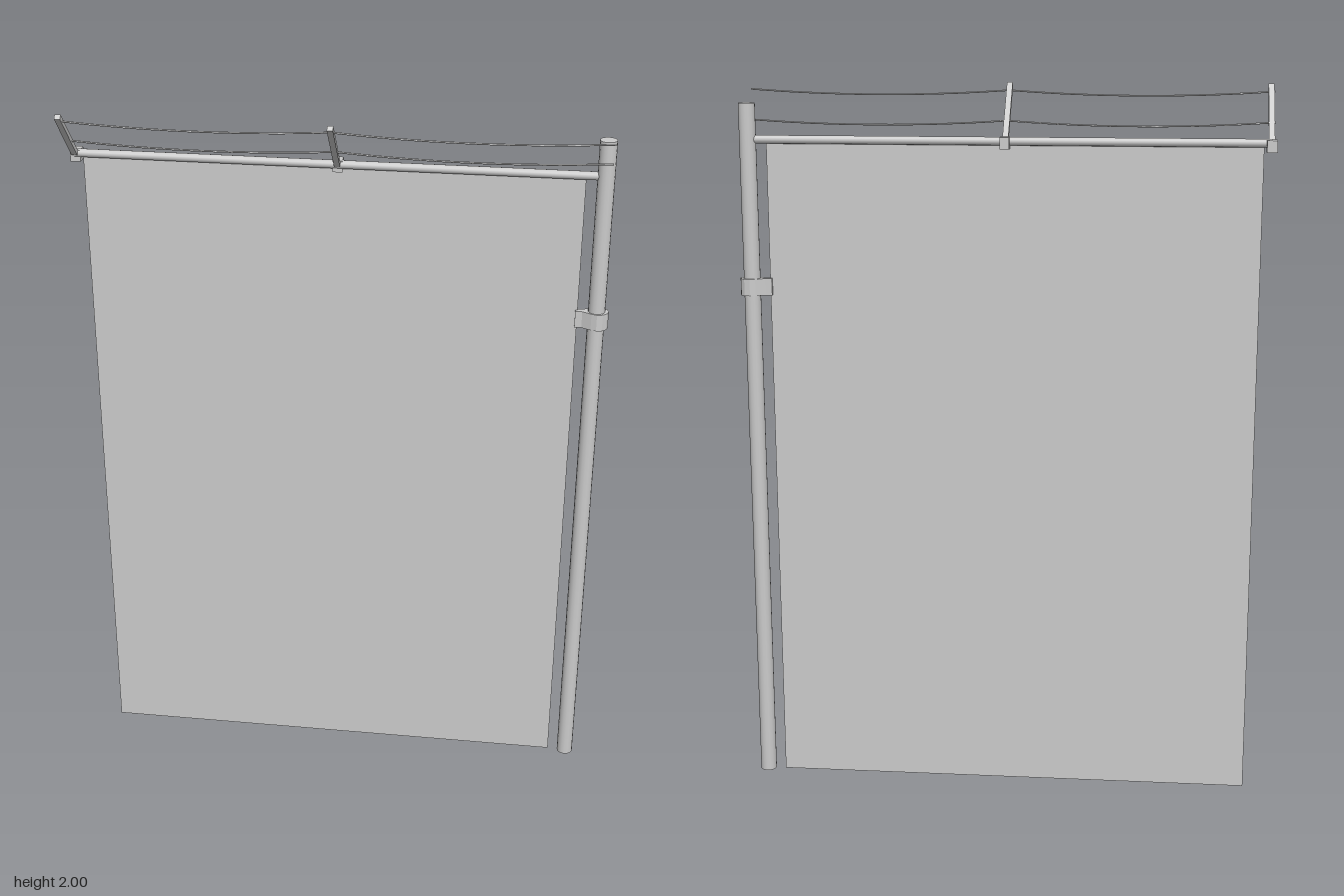
import * as THREE from 'three';

const Z = -0.066; // plane of post, rail and panel
const POST_X = 0.697;

export function createModel() {
  const model = new THREE.Group();
  model.name = 'fencePanel';
  const mat = new THREE.MeshStandardMaterial({ color: 0xcccccc });
  const sheetMat = new THREE.MeshStandardMaterial({ color: 0xcccccc, side: THREE.DoubleSide });

  const add = (name, geometry, x = 0, y = 0, z = 0, material = mat) => {
    const mesh = new THREE.Mesh(geometry, material);
    mesh.name = name;
    mesh.position.set(x, y, z);
    model.add(mesh);
    return mesh;
  };

  // Upright post and horizontal top rail
  add('post', new THREE.CylinderGeometry(0.023, 0.023, 1.946, 16), POST_X, 0.973, Z);
  const rail = add('topRail', new THREE.CylinderGeometry(0.0115, 0.0115, 1.4, 12), -0.022, 1.848, Z);
  rail.rotation.z = Math.PI / 2;

  // Thin fence sheet
  add('fenceSheet', new THREE.PlaneGeometry(1.346, 1.838), -0.027, 0.919, Z, sheetMat);

  // Clamp band: wraps the post and narrows to a tab at the sheet
  const band = new THREE.Shape();
  band.moveTo(0.64 - POST_X, -0.009);
  band.lineTo(-0.038, -0.009);
  for (let i = 0; i <= 8; i++) {
    const a = -2.2 + (4.4 * i) / 8;
    band.lineTo(0.004 + 0.029 * Math.cos(a), 0.028 * Math.sin(a));
  }
  band.lineTo(-0.038, 0.009);
  band.lineTo(0.64 - POST_X, 0.009);
  const bandGeo = new THREE.ExtrudeGeometry(band, { depth: 0.047, bevelEnabled: false });
  bandGeo.rotateX(-Math.PI / 2);
  add('postClamp', bandGeo, POST_X, 1.42, Z);

  // Slanted wire arms with the brackets that hold them to the rail
  const foot = new THREE.Vector3(0, 1.85, -0.057);
  const tip = new THREE.Vector3(0, 1.992, 0.08);
  const wires = [{ y: 1.899, z: -0.014 }, { y: 1.976, z: 0.063 }];
  [-0.72, -0.008].forEach((x, i) => {
    const end = i === 0;
    add('armBracket', new THREE.BoxGeometry(end ? 0.028 : 0.026, 0.032, 0.034), x, end ? 1.841 : 1.844, Z - 0.01);
    const arm = add('wireArm', new THREE.BoxGeometry(0.016, foot.distanceTo(tip), 0.014),
      x, (foot.y + tip.y) / 2, (foot.z + tip.z) / 2);
    arm.rotation.x = Math.atan2(tip.z - foot.z, tip.y - foot.y);
  });

  // Two wires sagging between their supports
  const supports = [-0.73, -0.008, 0.713];
  for (const { y, z } of wires) {
    for (let s = 0; s < 2; s++) {
      const points = [];
      for (let i = 0; i <= 8; i++) {
        const t = i / 8;
        points.push(new THREE.Vector3(
          THREE.MathUtils.lerp(supports[s], supports[s + 1], t), y - 0.013 * 4 * t * (1 - t), z));
      }
      add('wire', new THREE.TubeGeometry(new THREE.CatmullRomCurve3(points), 16, 0.0025, 6), 0, 0, 0, sheetMat);
    }
  }
  return model;
}
